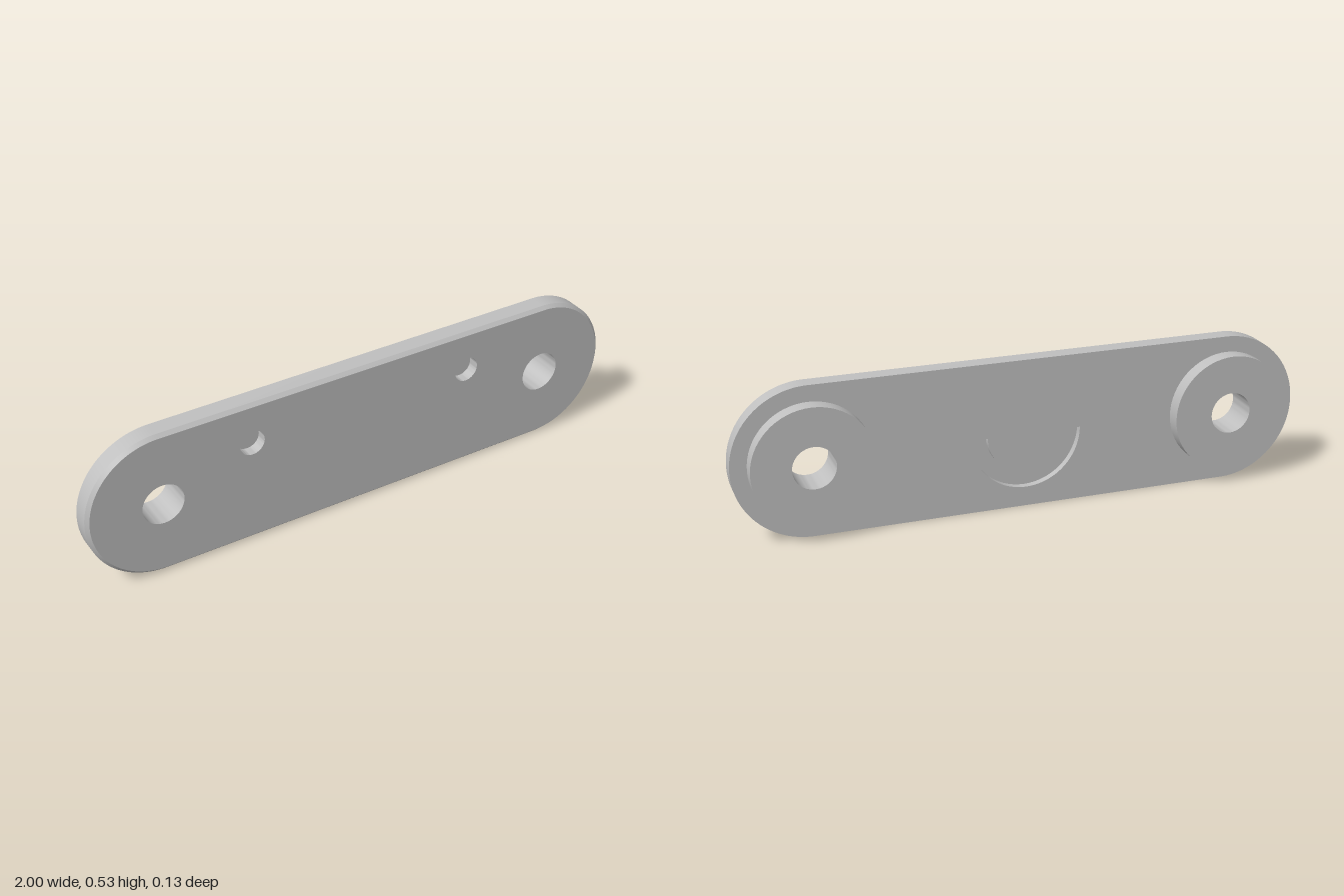
import * as THREE from 'three';
import { toCreasedNormals } from 'three/addons/utils/BufferGeometryUtils.js';

const CY = 0.263, R = 0.263, ENDX = 0.737;          // plate height centre, end radius, end centre
const FRONT = 0.064, BACK = -0.008, BOSS = -0.063;  // depth levels
const CHAMFER = 0.012, HOLE_R = 0.073, BOSS_R = 0.207;
const PIN = { x: 0.415, y: 0.38, r: 0.045, floor: 0.024 };
const GROOVE_FLOOR = 0.017;
const SEG = 32;

function stadium(r) {
  const s = new THREE.Shape();
  s.absarc(ENDX, CY, r, -Math.PI / 2, Math.PI / 2);
  s.absarc(-ENDX, CY, r, Math.PI / 2, Math.PI * 1.5);
  return s;
}

function circle(x, y, r) {
  return new THREE.Path().absarc(x, y, r, 0, Math.PI * 2);
}

function halfRing() {
  const s = new THREE.Shape();
  s.absarc(0, CY, 0.194, Math.PI, Math.PI * 2);
  s.absarc(0, CY, 0.136, Math.PI * 2, Math.PI, true);
  return s;
}

// Flat face at depth z, looking forward or backward
function face(shape, z, backward = false) {
  const g = new THREE.ShapeGeometry(shape, SEG).translate(0, 0, z);
  if (backward) {
    g.index.array.reverse();
    g.computeVertexNormals();
  }
  return g;
}

// Wall through a list of [shape, z] sections
function wall(sections) {
  const loops = sections.map(([s, z]) => s.getPoints(SEG).map(p => [p.x, p.y, z]));
  const n = loops[0].length, index = [];
  for (let k = 0; k < loops.length - 1; k++) {
    for (let i = 0; i < n; i++) {
      const a = k * n + i, b = k * n + (i + 1) % n;
      index.push(a, b, b + n, a, b + n, a + n);
    }
  }
  const g = new THREE.BufferGeometry();
  g.setAttribute('position', new THREE.Float32BufferAttribute(loops.flat(2), 3));
  g.setIndex(index);
  return toCreasedNormals(g, 0.5);
}

// Turned part with its axis along z; profile points are [radius, z]
function turned(profile) {
  const g = new THREE.LatheGeometry(profile.map(p => new THREE.Vector2(...p)), SEG * 2);
  return toCreasedNormals(g.rotateX(Math.PI / 2), 0.5);
}

export function createModel() {
  const grey = new THREE.MeshStandardMaterial({ color: 0xbfbfbf });
  grey.name = 'grey metal';
  const model = new THREE.Group();
  model.name = 'mountingPlate';
  const add = (name, geometry, x = 0, y = 0) => {
    const m = new THREE.Mesh(geometry, grey);
    m.name = name;
    m.position.set(x, y, 0);
    model.add(m);
  };

  // Plate: faces with openings, and a rim chamfered at the front
  const outer = stadium(R), inner = stadium(R - CHAMFER), groove = halfRing();
  const back = stadium(R);
  for (const s of [-1, 1]) {
    inner.holes.push(circle(s * ENDX, CY, HOLE_R), circle(s * PIN.x, PIN.y, PIN.r));
    back.holes.push(circle(s * ENDX, CY, BOSS_R));
  }
  back.holes.push(groove);
  add('plateFront', face(inner, FRONT));
  add('plateBack', face(back, BACK, true));
  add('plateRim', wall([[outer, BACK], [outer, FRONT - CHAMFER], [inner, FRONT]]));

  // Half-ring groove sunk into the back
  add('grooveFloor', face(groove, GROOVE_FLOOR, true));
  add('grooveWalls', wall([[groove, GROOVE_FLOOR], [groove, BACK]]));

  // Round bosses with through holes, and blind pin holes in the front
  for (const [side, s] of [['right', -1], ['left', 1]]) {
    add(side + 'Boss', turned([[HOLE_R, FRONT], [HOLE_R, BOSS], [BOSS_R, BOSS], [BOSS_R, BACK]]), s * ENDX, CY);
    add(side + 'PinHole', turned([[PIN.r, FRONT], [PIN.r, PIN.floor], [0, PIN.floor]]), s * PIN.x, PIN.y);
  }
  return model;
}
